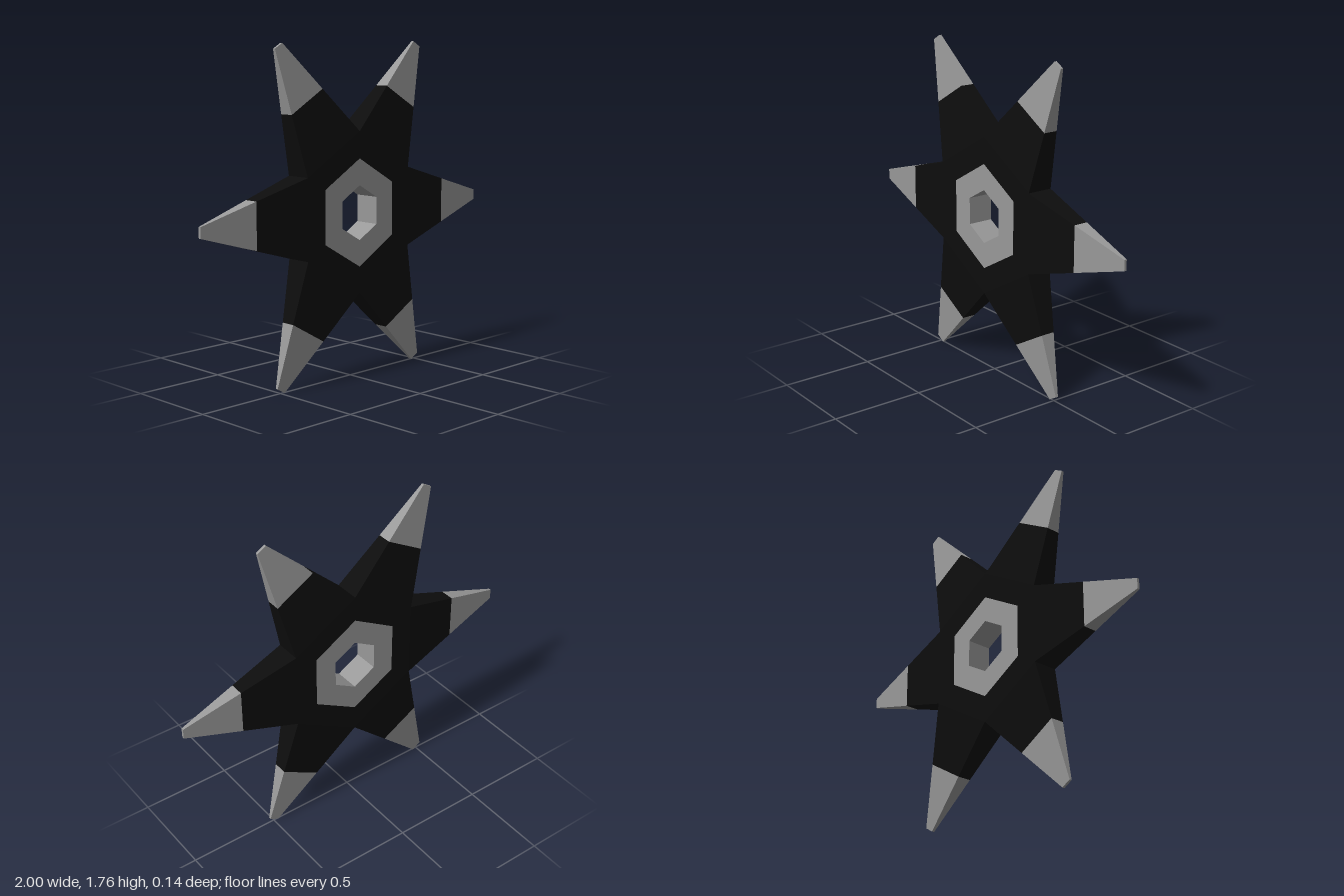
import * as THREE from 'three';

const CENTER_Y = 0.88;
const HALF_DEPTH = 0.07;
const VALLEY = 0.425; // radius of the notches between the points
const ROOT = VALLEY * Math.cos(Math.PI / 6); // where each point leaves the body
const BAND = 0.68; // where the dark blade meets the pale tip

// Hexagon with a corner pointing up
function hexagon(radius, Type = THREE.Shape) {
  const pts = [];
  for (let i = 0; i < 6; i++) {
    const a = Math.PI / 6 + i * Math.PI / 3;
    pts.push(new THREE.Vector2(radius * Math.cos(a), radius * Math.sin(a)));
  }
  return new Type(pts);
}

// Hexagonal ring centred on z = 0
function hexRing(outer, inner) {
  const shape = hexagon(outer);
  shape.holes.push(hexagon(inner, THREE.Path));
  const geo = new THREE.ExtrudeGeometry(shape, { depth: 2 * HALF_DEPTH, bevelEnabled: false });
  return geo.translate(0, 0, -HALF_DEPTH);
}

// Piece of a point between two radii, tapering in width and depth
function taper(x0, x1) {
  const geo = new THREE.BoxGeometry(1, 1, 1);
  const p = geo.attributes.position;
  for (let i = 0; i < p.count; i++) {
    const x = p.getX(i) < 0 ? x0 : x1;
    const t = (x - ROOT) / (1 - ROOT);
    const halfWidth = THREE.MathUtils.lerp(VALLEY / 2, 0.028, t);
    const halfDepth = THREE.MathUtils.lerp(HALF_DEPTH, 0.007, t);
    p.setXYZ(i, x, Math.sign(p.getY(i)) * halfWidth, Math.sign(p.getZ(i)) * halfDepth);
  }
  geo.computeVertexNormals();
  return geo;
}

export function createModel() {
  const black = new THREE.MeshStandardMaterial({ name: 'black', color: 0x0d0d0d });
  const grey = new THREE.MeshStandardMaterial({ name: 'steel grey', color: 0x999999 });
  const group = new THREE.Group();
  group.name = 'throwingStar';

  const add = (parent, name, geo, mat) => {
    const mesh = new THREE.Mesh(geo, mat);
    mesh.name = name;
    parent.add(mesh);
  };

  // Centre: pale ring around the hole, dark body around it
  const core = new THREE.Group();
  core.name = 'core';
  core.position.y = CENTER_Y;
  add(core, 'hubRing', hexRing(0.284, 0.144), grey);
  add(core, 'body', hexRing(VALLEY, 0.284), black);
  group.add(core);

  // Six points, each a dark blade with a pale tip
  const bladeGeo = taper(ROOT, BAND);
  const tipGeo = taper(BAND, 1);
  for (let i = 0; i < 6; i++) {
    const point = new THREE.Group();
    point.name = 'point' + (i + 1);
    point.position.y = CENTER_Y;
    point.rotation.z = i * Math.PI / 3;
    add(point, 'blade', bladeGeo, black);
    add(point, 'tip', tipGeo, grey);
    group.add(point);
  }
  return group;
}
